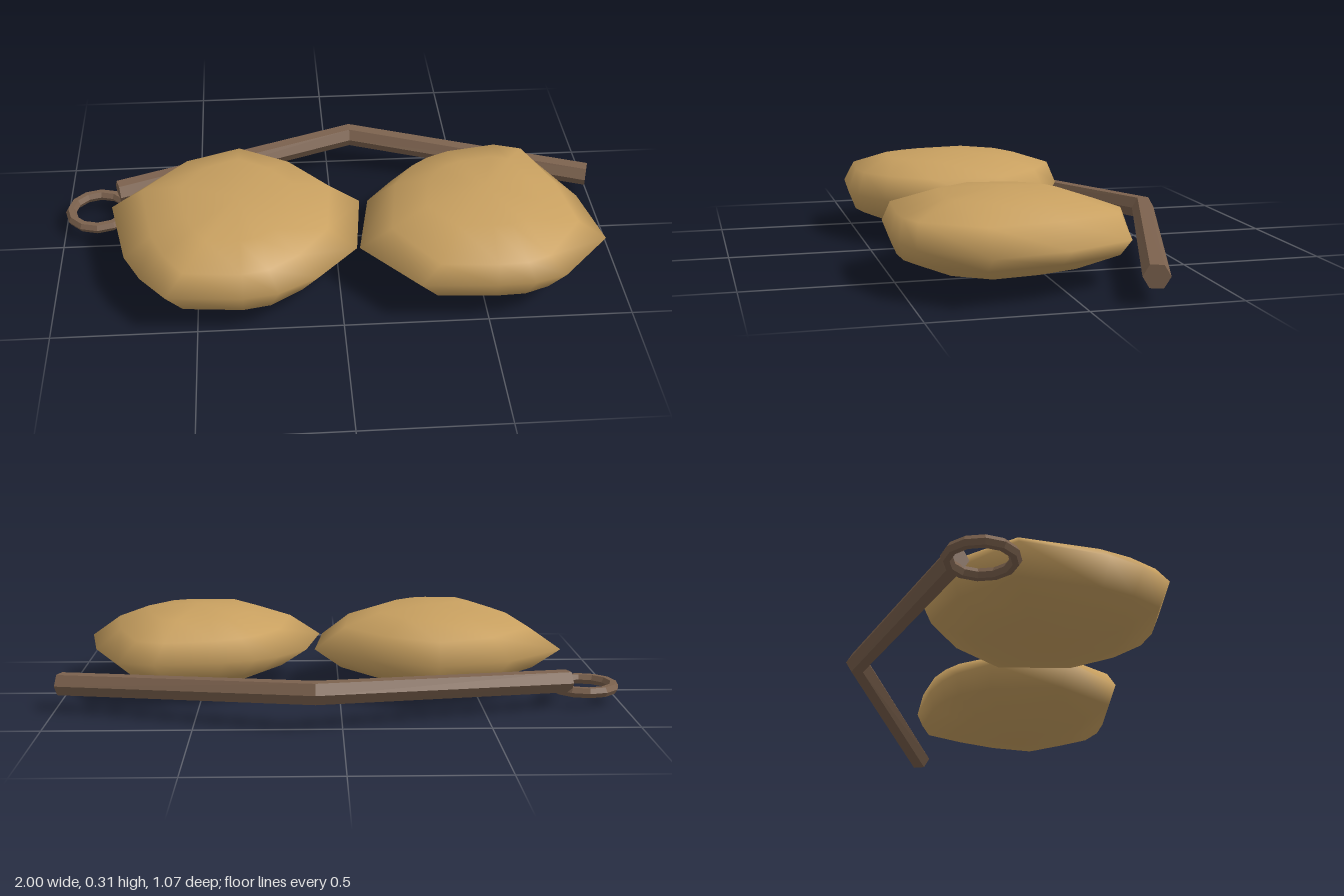
import * as THREE from 'three';
import { mergeVertices } from 'three/addons/utils/BufferGeometryUtils.js';

// Skin a stack of equal-length rings of [x, y, z] points
function loft(rings) {
  const n = rings[0].length;
  const index = [];
  for (let k = 0; k < rings.length - 1; k++) {
    for (let i = 0; i < n; i++) {
      const j = (i + 1) % n;
      const a = k * n + i, b = k * n + j;
      index.push(a, b, a + n, b, b + n, a + n);
    }
  }
  const geo = new THREE.BufferGeometry();
  geo.setAttribute('position', new THREE.Float32BufferAttribute(rings.flat(2), 3));
  geo.setIndex(index);
  return geo;
}

function flat(geo) {
  const g = geo.toNonIndexed();
  g.computeVertexNormals();
  return g;
}

// Flattened stone: an [x, z] outline shrunk towards the centre by [scaleX, scaleZ, y] levels
function stone(outline, [cx, cz], levels) {
  const rings = levels.map(([sx, sz, y]) =>
    outline.map(([x, z]) => [cx + (x - cx) * sx, y, cz + (z - cz) * sz]));
  const geo = mergeVertices(loft(rings));
  geo.computeVertexNormals();
  return geo;
}

export function createModel() {
  const model = new THREE.Group();
  const tan = new THREE.MeshStandardMaterial({ color: 0xc8a060 });
  const brown = new THREE.MeshStandardMaterial({ color: 0x7c624e });
  const add = (name, geo, mat) => {
    const mesh = new THREE.Mesh(geo, mat);
    mesh.name = name;
    model.add(mesh);
    return mesh;
  };

  // Two irregular rounded lobes with thin side tips and blunt ends
  add('rightLobe', stone(
    [[-0.81, -0.02], [-0.6, -0.21], [-0.34, -0.29], [-0.1, -0.18], [0.09, 0], [0.06, 0.28],
      [-0.08, 0.43], [-0.22, 0.51], [-0.34, 0.53], [-0.6, 0.51], [-0.69, 0.4], [-0.75, 0.28]],
    [-0.35, 0.14],
    [[0, 0, 0.3], [0.45, 0.6, 0.285], [0.75, 0.92, 0.24], [1, 1, 0.16],
      [0.78, 0.93, 0.09], [0.45, 0.6, 0.035], [0, 0, 0.025]]), tan);

  add('leftLobe', stone(
    [[0.12, 0], [0.22, -0.12], [0.3, -0.17], [0.41, -0.21], [0.65, -0.245], [0.78, -0.21],
      [0.89, 0.02], [0.94, 0.28], [0.76, 0.475], [0.65, 0.51], [0.52, 0.515], [0.26, 0.5], [0.07, 0.28]],
    [0.52, 0.14],
    [[0, 0, 0.307], [0.47, 0.55, 0.285], [0.75, 0.95, 0.235], [1, 1, 0.16],
      [0.77, 0.95, 0.1], [0.45, 0.6, 0.042], [0, 0, 0]]), tan);

  // Bent hexagonal rod, mitred at the elbow: [x, y, z, radius, sideways lean]
  const stations = [
    [-0.805, 0.09, -0.215, 0, 0], [-0.805, 0.09, -0.215, 0.042, 0.3],
    [0.09, 0.125, -0.5, 0.042, 0],
    [0.985, 0.09, -0.215, 0.042, -0.3], [0.985, 0.09, -0.215, 0, 0],
  ];
  const rod = loft(stations.map(([x, y, z, r, lean]) =>
    Array.from({ length: 6 }, (_, i) => {
      const t = (i + 0.5) * Math.PI / 3;
      const w = r * Math.sin(t);
      return [x + w * lean, y + r * Math.cos(t), z + w];
    })));
  add('bentRod', flat(rod), brown);

  // Flat ring at the rod's end
  const ring = add('ring', flat(new THREE.TorusGeometry(0.106, 0.02, 6, 12)), brown);
  ring.rotation.x = Math.PI / 2;
  ring.position.set(-0.874, 0.055, -0.145);

  return model;
}
